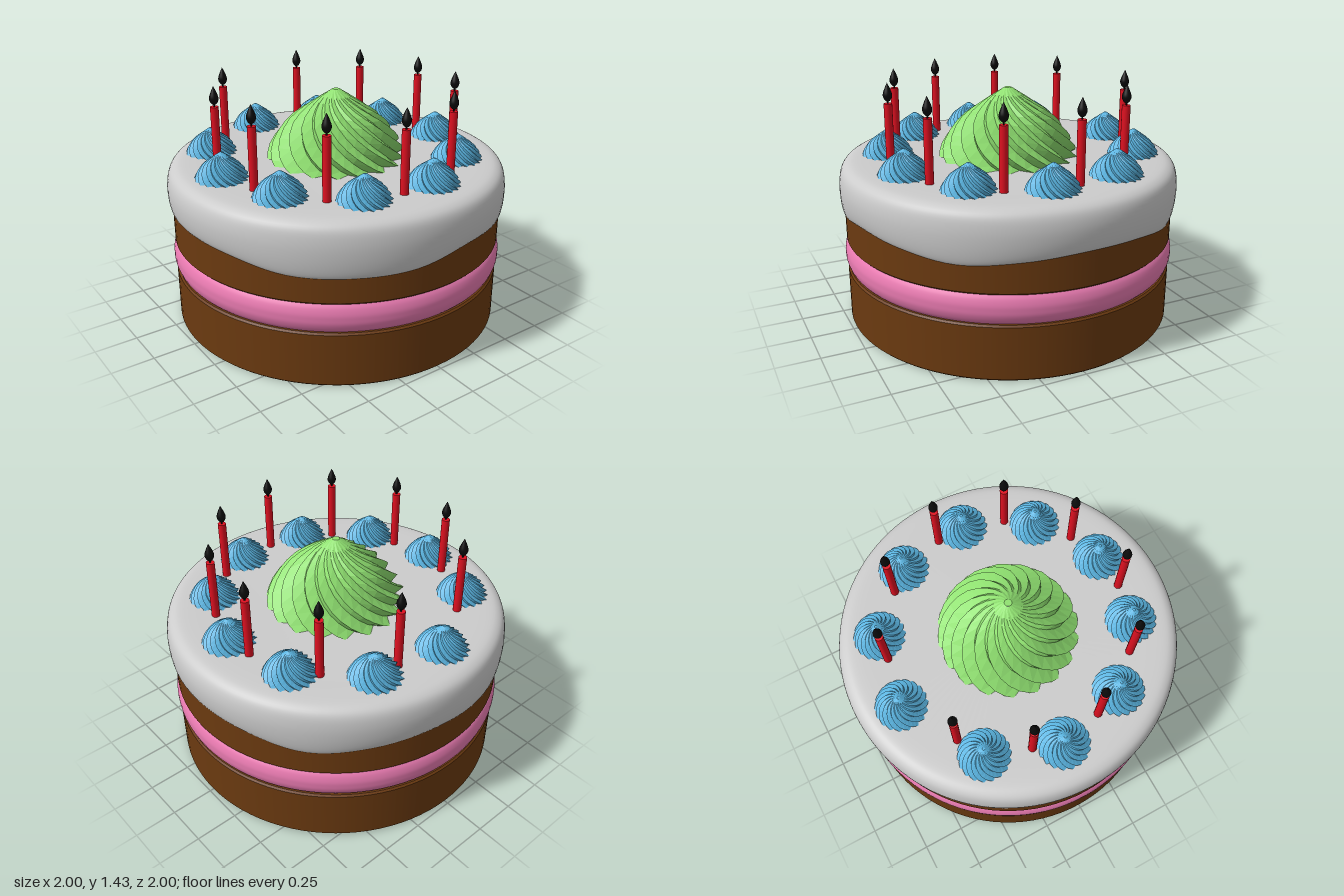
import * as THREE from 'three';

const mat = (color, extra = {}) => new THREE.MeshStandardMaterial({ color, ...extra });
const v2 = (pts) => pts.map(([r, y]) => new THREE.Vector2(r, y));

function add(parent, name, geometry, material) {
  const mesh = new THREE.Mesh(geometry, material);
  mesh.name = name;
  parent.add(mesh);
  return mesh;
}

// Twisted piped swirl, unit radius and unit height; ridges fade towards the tip.
function swirlGeometry() {
  const sides = 36, rows = 12, twist = 1.7;
  const profile = new THREE.SplineCurve(v2([
    [0.05, 1], [0.2, 0.9], [0.4, 0.76], [0.64, 0.58], [0.82, 0.36], [0.94, 0.16], [0.98, 0],
  ]));
  const g = new THREE.CylinderGeometry(1, 1, 1, sides, rows, true);
  const p = g.attributes.position;
  for (let i = 0; i < p.count; i++) {
    const column = i % (sides + 1), t = Math.floor(i / (sides + 1)) / rows;
    const at = profile.getPoint(t);
    const ridge = column % 2 ? 1 - 0.13 * Math.min(1, t * 2) : 1.03;
    const a = (column / sides) * Math.PI * 2 + twist * t;
    p.setXYZ(i, Math.sin(a) * at.x * ridge, at.y, Math.cos(a) * at.x * ridge);
  }
  return g;
}

// Frosting shell: a lathe whose side is stretched down to a wavy lower edge.
function frostingGeometry() {
  const edge = [0.705, 0.695, 0.65, 0.645, 0.655, 0.7, 0.68, 0.65, 0.675,
    0.7, 0.69, 0.65, 0.675, 0.69, 0.665, 0.642, 0.655, 0.69];
  const wave = new THREE.CatmullRomCurve3(
    edge.map((y, i) => new THREE.Vector3(i, y, 0)), true, 'catmullrom', 0.5);
  // Heights below 0.9 are remapped so that 0.66 meets the wavy edge.
  const profile = new THREE.SplineCurve(v2([
    [0.955, 0.69], [0.975, 0.66], [0.99, 0.69], [1, 0.76], [1, 0.84],
    [0.985, 0.91], [0.95, 0.945], [0.89, 0.957], [0.75, 0.957],
  ])).getPoints(32);
  profile.push(new THREE.Vector2(0.4, 0.955), new THREE.Vector2(0, 0.955));
  const g = new THREE.LatheGeometry(profile, 108);
  const p = g.attributes.position;
  const rows = profile.length;
  for (let i = 0; i < p.count; i++) {
    const y = p.getY(i);
    if (y > 0.9) continue;
    const bottom = wave.getPoint((Math.floor(i / rows) / 108) % 1).y;
    p.setY(i, 0.9 - ((0.9 - y) / 0.24) * (0.9 - bottom));
  }
  g.computeVertexNormals();
  // Match the normals across the lathe seam.
  const n = g.attributes.normal, last = 108 * rows;
  for (let j = 0; j < rows; j++) {
    const m = new THREE.Vector3().fromBufferAttribute(n, j)
      .add(new THREE.Vector3().fromBufferAttribute(n, last + j)).normalize();
    n.setXYZ(j, m.x, m.y, m.z);
    n.setXYZ(last + j, m.x, m.y, m.z);
  }
  return g;
}

// Sponge layer with slightly softened rims.
function layerGeometry(r, y0, y1) {
  const b = 0.01;
  return new THREE.LatheGeometry(v2([
    [0, y0], [r - b, y0], [r - b, y0], [r, y0 + b], [r, y0 + b],
    [r, y1 - b], [r, y1 - b], [r - b, y1], [r - b, y1], [0, y1],
  ]), 96);
}

export function createModel() {
  const cake = new THREE.Group();
  cake.name = 'birthdayCake';

  const brown = mat(0x6b3a10);
  const green = mat(0x8fe070, { flatShading: true, side: THREE.DoubleSide });
  const blue = mat(0x5ab4e0, { flatShading: true, side: THREE.DoubleSide });
  const red = mat(0xe01020);
  const black = mat(0x0a0a0a);

  // Sponge layers with the cream filling bulging between them
  add(cake, 'lowerSponge', layerGeometry(0.98, 0, 0.325), brown);
  add(cake, 'upperSponge', layerGeometry(0.978, 0.495, 0.8), brown);
  const bulge = new THREE.SplineCurve(v2([
    [0.955, 0.322], [0.975, 0.345], [0.988, 0.38], [0.99, 0.41],
    [0.988, 0.44], [0.975, 0.475], [0.955, 0.498],
  ]));
  add(cake, 'creamFilling', new THREE.LatheGeometry(bulge.getPoints(20), 96), mat(0xe87ab0));
  add(cake, 'frosting', frostingGeometry(), mat(0xcccccc, { side: THREE.DoubleSide }));

  // Large centre swirl
  const swirl = swirlGeometry();
  const tip = new THREE.CircleGeometry(0.0515, 18).rotateX(-Math.PI / 2).translate(0, 1, 0);
  function addSwirl(name, material, x, z, radius, height) {
    const g = new THREE.Group();
    g.name = name;
    add(g, 'swirlBody', swirl, material);
    add(g, 'swirlTip', tip, material);
    g.position.set(x, 0.95, z);
    g.scale.set(radius, height, radius);
    cake.add(g);
  }
  addSwirl('centreSwirl', green, 0, 0, 0.41, 0.408);

  // Ring of small swirls
  const spots = [[-0.364, -0.636], [0.07, -0.717], [0.47, -0.535], [0.695, -0.155], [0.658, 0.283],
    [0.374, 0.62], [-0.048, 0.738], [-0.465, 0.588], [-0.743, 0.118], [-0.674, -0.316]];
  spots.forEach(([x, z]) => addSwirl('smallSwirl', blue, x, z, 0.152, 0.158));

  // Candles with teardrop flames
  const stick = new THREE.CylinderGeometry(0.024, 0.024, 0.37, 20).translate(0, 1.13, 0);
  const wick = new THREE.CylinderGeometry(0.005, 0.005, 0.03, 8).translate(0, 1.325, 0);
  const drop = new THREE.SplineCurve(v2([
    [0, 1.325], [0.014, 1.332], [0.025, 1.352], [0.025, 1.372], [0.015, 1.4], [0.006, 1.42], [0, 1.433],
  ])).getPoints(20).map((p) => p.setX(Math.max(0, p.x)));
  const flame = new THREE.LatheGeometry(drop, 20);
  for (let i = 0; i < 10; i++) {
    const a = THREE.MathUtils.degToRad(-166.2 + 34.2 * i);
    const candle = new THREE.Group();
    candle.name = 'candle';
    add(candle, 'stick', stick, red);
    add(candle, 'wick', wick, black);
    add(candle, 'flame', flame, black);
    candle.position.set(0.711 * Math.cos(a), 0, 0.711 * Math.sin(a));
    cake.add(candle);
  }
  return cake;
}
